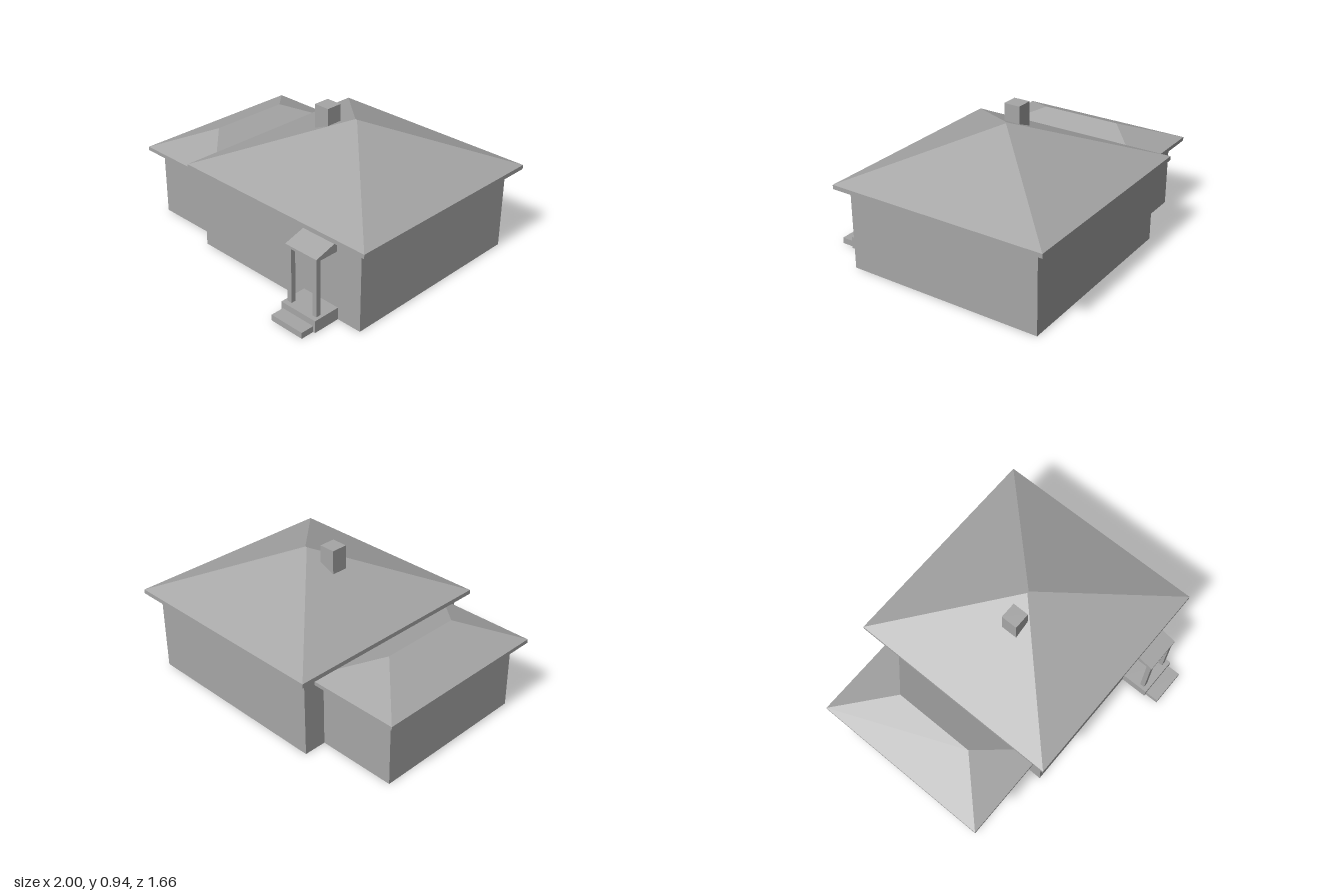
import * as THREE from 'three';

const grey = new THREE.MeshStandardMaterial({ color: 0xa6a6a6, side: THREE.DoubleSide });
grey.name = 'plain grey';

function add(group, name, geometry) {
  const mesh = new THREE.Mesh(geometry, grey);
  mesh.name = name;
  group.add(mesh);
  return mesh;
}

// Flat-shaded surface from convex polygons
function panels(polys) {
  const pos = [];
  for (const p of polys) {
    for (let i = 1; i < p.length - 1; i++) pos.push(...p[0], ...p[i], ...p[i + 1]);
  }
  const g = new THREE.BufferGeometry();
  g.setAttribute('position', new THREE.Float32BufferAttribute(pos, 3));
  g.computeVertexNormals();
  return g;
}

// Quads joining two paths of equal length
const band = (a, b) => a.slice(1).map((p, i) => [a[i], p, b[i + 1], b[i]]);

// Path round the back, left and front of a rectangle; closed adds the right side
function path(x0, x1, z0, z1, y, closed) {
  const p = [[x1, y, z0], [x0, y, z0], [x0, y, z1], [x1, y, z1]];
  return closed ? [...p, p[0]] : p;
}

const outline = pts => new THREE.Shape(pts.map(p => new THREE.Vector2(...p)));

// Box without a bottom face
function openBox(x0, x1, y0, y1, z0, z1) {
  const low = path(x0, x1, z0, z1, y0, true);
  const high = path(x0, x1, z0, z1, y1, true);
  return panels([...band(low, high), [high[1], high[2], high[3], high[0]]]);
}

function mainHouse() {
  const g = new THREE.Group();
  g.name = 'mainHouse';
  const eave = y => path(-0.475, 1, -0.835, 0.62, y, true);
  const wall = y => path(-0.405, 0.925, -0.76, 0.555, y, true);

  // Back, front and right walls; the left one is open to the wing
  const sides = band(wall(0), wall(0.545));
  sides.splice(1, 1);
  add(g, 'walls', panels(sides));
  const left = new THREE.ShapeGeometry(outline([
    [-0.76, 0], [-0.61, 0], [-0.61, 0.455], [-0.68, 0.455], [-0.68, 0.48], [-0.61, 0.508],
    [0.46, 0.508], [0.53, 0.48], [0.53, 0.455], [0.46, 0.455], [0.46, 0],
    [0.555, 0], [0.555, 0.545], [-0.76, 0.545]]));
  left.rotateY(-Math.PI / 2).translate(-0.405, 0, 0);
  add(g, 'leftWall', left);

  add(g, 'soffit', panels(band(wall(0.545), eave(0.545))));
  add(g, 'fascia', panels(band(eave(0.545), eave(0.573))));
  const ridge = path(0.256, 0.269, -0.1075, -0.1075, 0.88, true);
  add(g, 'roof', panels(band(eave(0.573), ridge)));

  // Chimney, its foot cut to the roof slope
  const chimney = new THREE.ExtrudeGeometry(outline([
    [0.02, 0.778], [0.13, 0.824], [0.13, 0.94], [0.02, 0.94]]), { depth: 0.11, bevelEnabled: false });
  chimney.translate(0, 0, -0.11);
  add(g, 'chimney', chimney);
  return g;
}

function sideWing() {
  const g = new THREE.Group();
  g.name = 'sideWing';
  const cut = -0.405;
  const eave = y => path(-1, cut, -0.68, 0.53, y, false);
  const wall = y => path(-0.93, cut, -0.61, 0.46, y, false);
  add(g, 'wingWalls', panels(band(wall(0), wall(0.455))));
  add(g, 'wingSoffit', panels(band(wall(0.455), eave(0.455))));
  add(g, 'wingFascia', panels(band(eave(0.455), eave(0.48))));

  // Hip roof, cut off where it meets the main house
  const top = [[cut, 0.508, -0.61], [-0.667, 0.616, -0.345], [-0.667, 0.616, 0.2], [cut, 0.508, 0.46]];
  add(g, 'wingRoof', panels([...band(eave(0.48), top), [top[3], top[0], top[1], top[2]]]));
  return g;
}

function porch() {
  const g = new THREE.Group();
  g.name = 'porch';
  add(g, 'landing', openBox(0.482, 0.755, 0, 0.08, 0.555, 0.74));
  add(g, 'step', openBox(0.496, 0.74, 0, 0.04, 0.74, 0.83));
  for (const x of [0.519, 0.718]) {
    add(g, 'post', new THREE.BoxGeometry(0.032, 0.37, 0.032)).position.set(x, 0.265, 0.693);
  }
  const canopy = new THREE.ExtrudeGeometry(outline([
    [0.555, 0.448], [0.716, 0.448], [0.716, 0.465], [0.555, 0.513]]), { depth: 0.244, bevelEnabled: false });
  canopy.rotateY(-Math.PI / 2).translate(0.74, 0, 0);
  add(g, 'canopy', canopy);
  return g;
}

export function createModel() {
  const model = new THREE.Group();
  model.name = 'house';
  model.add(mainHouse(), sideWing(), porch());
  return model;
}
